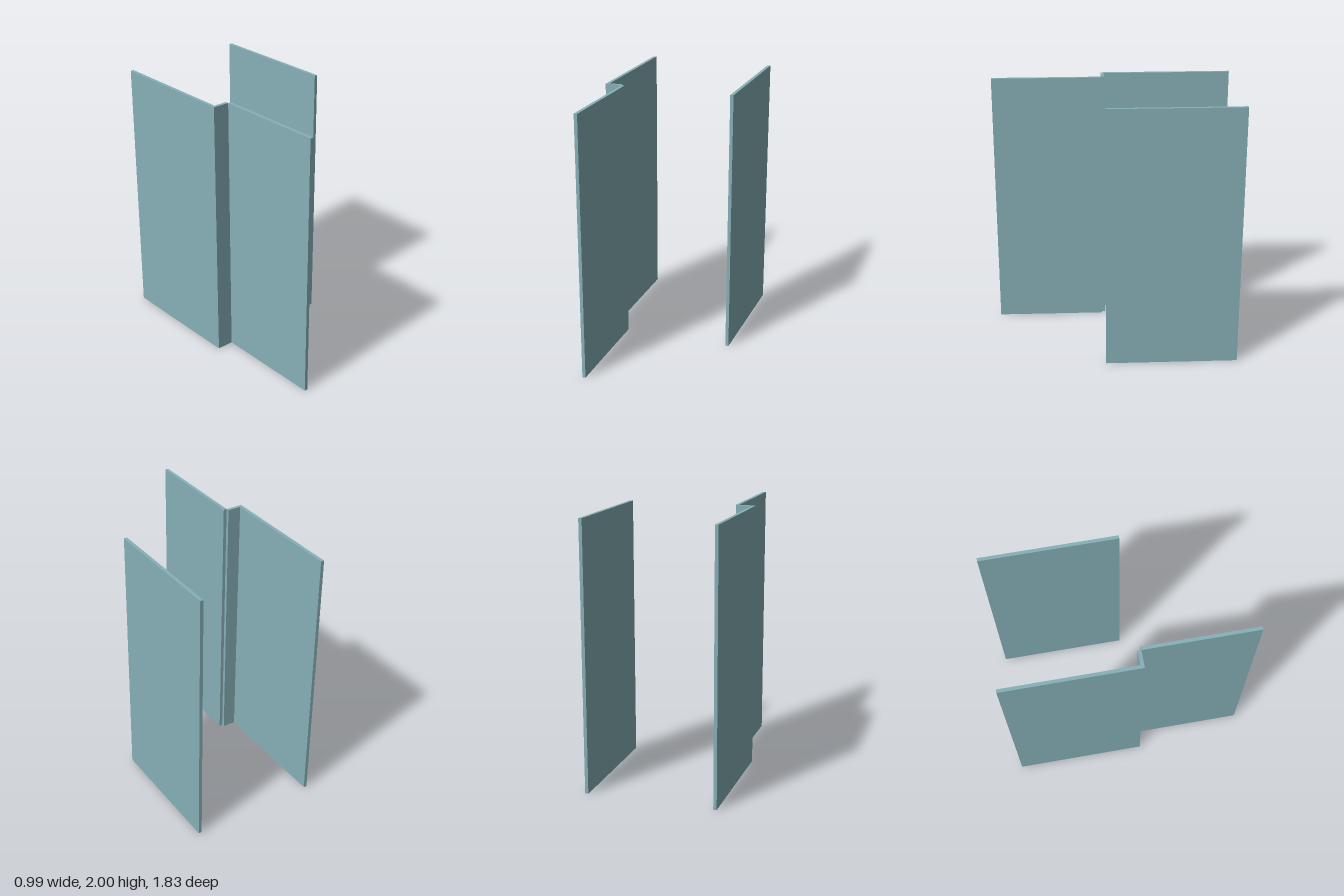
import * as THREE from 'three';

const HEIGHT = 2;

export function createModel() {
  const group = new THREE.Group();
  group.name = 'wallPanels';

  const panelTeal = new THREE.MeshStandardMaterial({ color: 0x87b1b8 });
  panelTeal.name = 'panelTeal';

  // Upright slab given by its plan extents
  function addWall(name, x0, x1, z0, z1) {
    const wall = new THREE.Mesh(new THREE.BoxGeometry(x1 - x0, HEIGHT, z1 - z0), panelTeal);
    wall.name = name;
    wall.position.set((x0 + x1) / 2, HEIGHT / 2, (z0 + z1) / 2);
    group.add(wall);
  }

  // Stepped wall: rear run, short return, front run
  addWall('rightRearWall', -0.495, -0.47, -0.914, 0.055);
  addWall('rightStepWall', -0.495, -0.367, 0.055, 0.08);
  addWall('rightFrontWall', -0.367, -0.342, 0.08, 0.914);

  // Free-standing wall opposite the rear run
  addWall('leftRearWall', 0.47, 0.495, -0.914, 0.08);

  return group;
}
